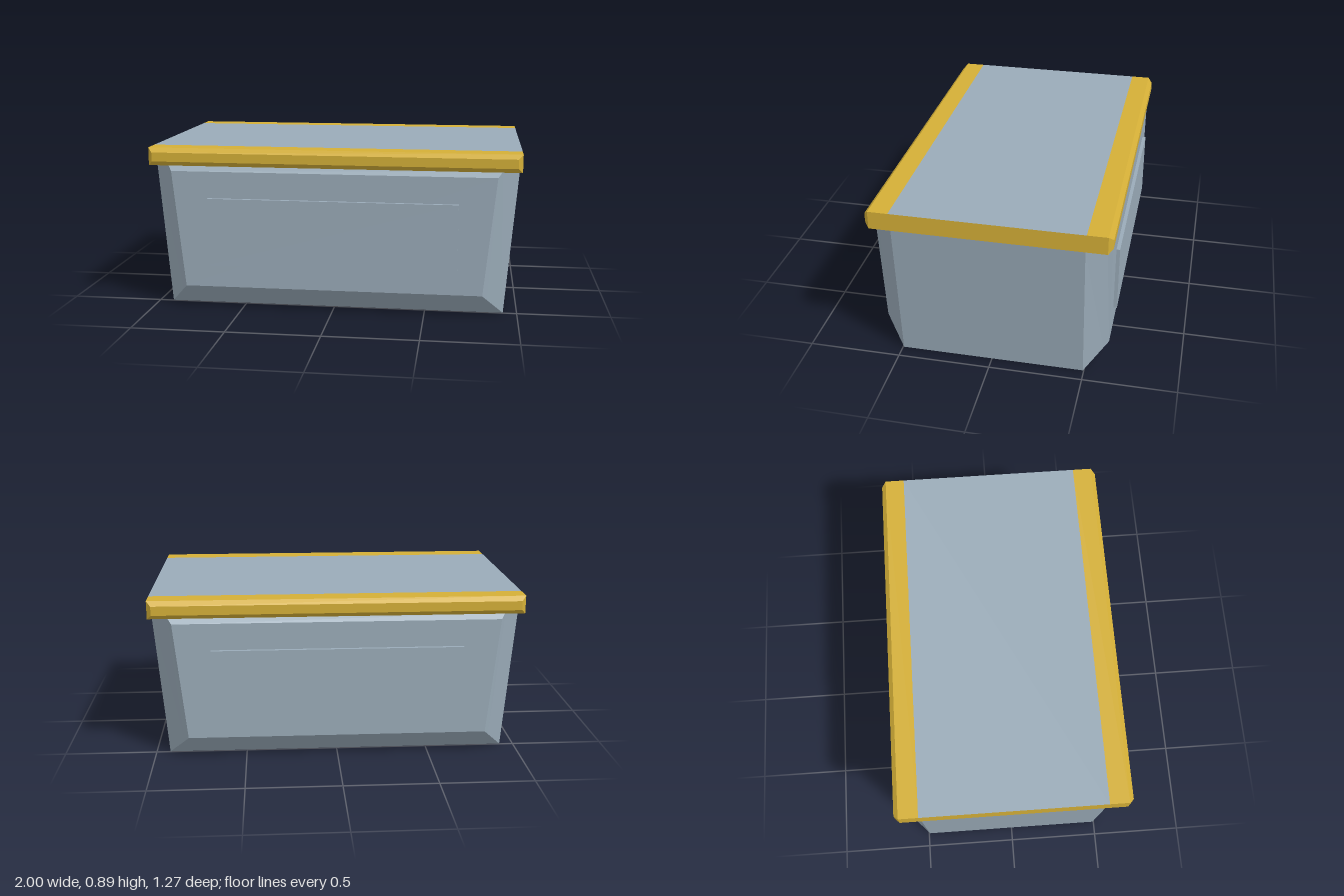
import * as THREE from 'three';

// Skin a row of symmetric trapezoid sections along z.
// Section: [z, bottom half width, bottom y, top half width, top y]
// isTrim(segment) lets the top face of one segment use the second material.
function loft(half, insetTop = -1) {
  const mirrored = half.slice().reverse().map(([z, ...rest]) => [-z, ...rest]);
  const sections = [...mirrored, ...half].map(([z, bw, by, tw, ty]) => [
    [-bw, by, z], [bw, by, z], [tw, ty, z], [-tw, ty, z],
  ]);
  const main = [], inset = [];
  const quad = (out, a, b, c, d) => out.push(...a, ...b, ...c, ...a, ...c, ...d);
  for (let k = 0; k < sections.length - 1; k++) {
    const s = sections[k], t = sections[k + 1];
    for (let i = 0; i < 4; i++) {
      const j = (i + 1) % 4;
      quad(k === insetTop && i === 2 ? inset : main, s[i], s[j], t[j], t[i]);
    }
  }
  const first = sections[0], last = sections[sections.length - 1];
  quad(main, ...last);
  quad(main, first[3], first[2], first[1], first[0]);

  const geometry = new THREE.BufferGeometry();
  geometry.setAttribute('position', new THREE.Float32BufferAttribute([...main, ...inset], 3));
  geometry.addGroup(0, main.length / 3, 0);
  if (inset.length) geometry.addGroup(main.length / 3, inset.length / 3, 1);
  geometry.computeVertexNormals();
  return geometry;
}

export function createModel() {
  const steel = new THREE.MeshStandardMaterial({ color: 0x9aabb8 });
  steel.name = 'steel grey';
  const gold = new THREE.MeshStandardMaterial({ color: 0xd4af37 });
  gold.name = 'gold';

  const model = new THREE.Group();
  model.name = 'counter';
  const add = (name, geometry, material) => {
    const mesh = new THREE.Mesh(geometry, material);
    mesh.name = name;
    model.add(mesh);
    return mesh;
  };

  // Tapered body with chamfered front and back
  add('body', loft([
    [0.495, 0.925, 0, 0.99, 0.793],
    [0.59, 0.834, 0.099, 0.897, 0.793],
    [0.615, 0.81, 0.125, 0.875, 0.765],
  ]), [steel]);

  // Gold slab with bevelled edges and a grey middle on top
  add('top', loft([
    [0.5, 1, 0.793, 1, 0.89],
    [0.606, 1, 0.793, 1, 0.89],
    [0.63, 0.976, 0.817, 0.976, 0.866],
  ], 2), [gold, steel]);

  // Raised panels on the front and back
  for (const side of [1, -1]) {
    const panel = add(side > 0 ? 'frontPanel' : 'backPanel',
      new THREE.BoxGeometry(1.35, 0.37, 0.03), steel);
    panel.position.set(0, 0.435, side * 0.619);
  }
  return model;
}
